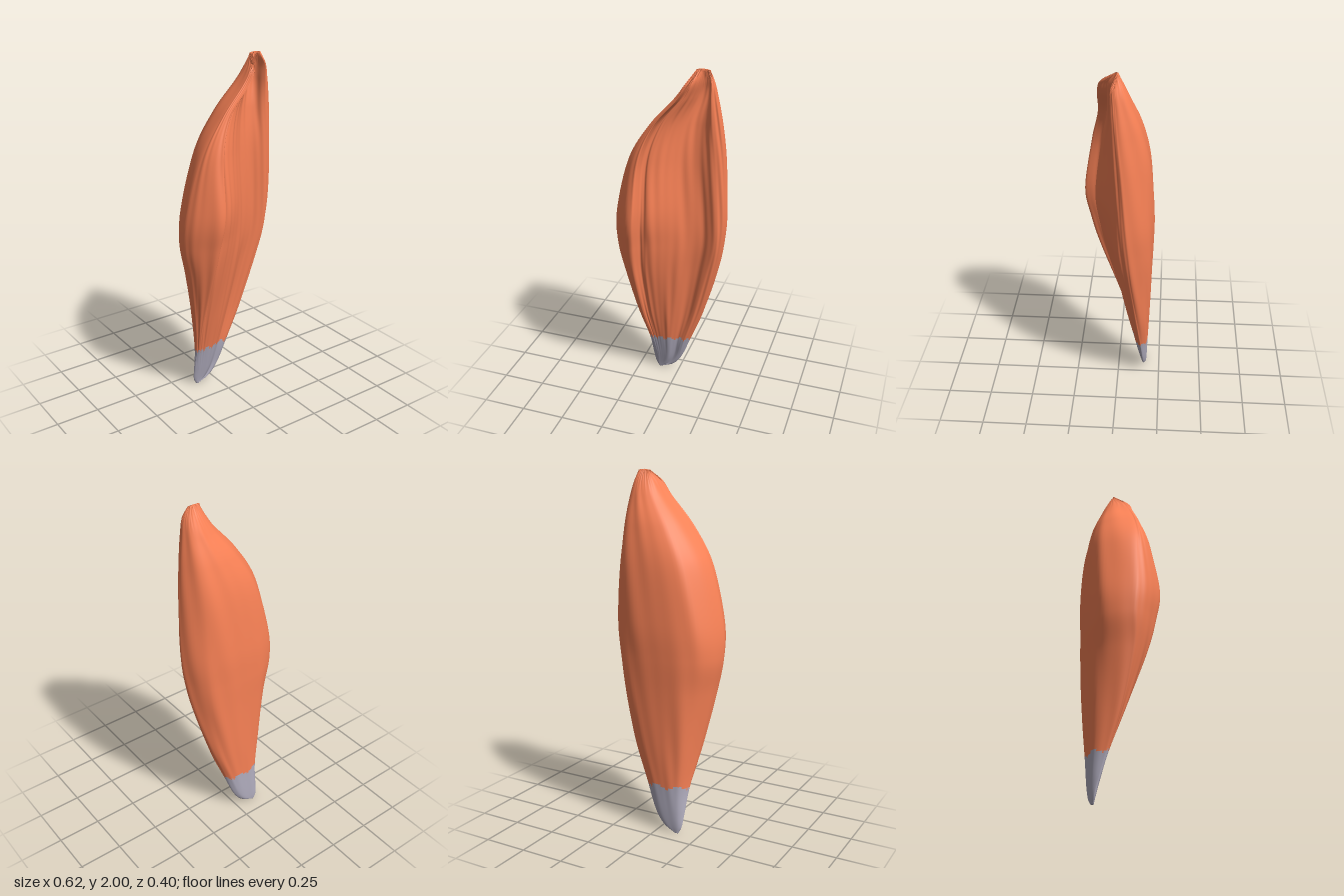
import * as THREE from 'three';

// Cross-section profile from tip to top:
// y, left edge x z, left ridge x z, hollow z, right ridge x z, right edge x z, back z
const SECTIONS = [
  [0.00, -0.130, -0.160, -0.125, -0.153, -0.152, -0.115, -0.153, -0.105, -0.160, -0.166],
  [0.04, -0.148, -0.155, -0.132, -0.145, -0.143, -0.050, -0.147, -0.030, -0.155, -0.170],
  [0.12, -0.156, -0.135, -0.135, -0.125, -0.122, 0.000, -0.135, 0.025, -0.150, -0.173],
  [0.27, -0.168, -0.095, -0.150, -0.083, -0.088, 0.045, -0.108, 0.082, -0.140, -0.176],
  [0.50, -0.212, -0.035, -0.176, 0.002, -0.045, 0.120, -0.083, 0.168, -0.120, -0.183],
  [0.80, -0.270, 0.010, -0.182, 0.110, 0.000, 0.200, -0.042, 0.250, -0.090, -0.190],
  [1.00, -0.306, 0.012, -0.172, 0.165, 0.015, 0.245, -0.015, 0.288, -0.075, -0.195],
  [1.20, -0.293, 0.030, -0.157, 0.198, 0.020, 0.250, 0.000, 0.305, -0.060, -0.195],
  [1.50, -0.212, 0.055, -0.140, 0.150, 0.010, 0.238, 0.015, 0.295, -0.040, -0.175],
  [1.70, -0.092, 0.072, -0.065, 0.107, -0.010, 0.222, 0.022, 0.275, -0.020, -0.135],
  [1.85, 0.038, 0.072, 0.058, 0.100, -0.035, 0.220, 0.028, 0.250, -0.008, -0.080],
  [1.93, 0.095, 0.058, 0.106, 0.085, -0.025, 0.220, 0.025, 0.233, 0.000, -0.045],
  [1.99, 0.135, -0.004, 0.142, 0.001, -0.004, 0.200, 0.001, 0.207, -0.004, -0.012],
];
const ROWS = 170, SEGMENTS = 140;
const lerp = THREE.MathUtils.lerp, step = THREE.MathUtils.smoothstep;

// Outline of one section: left lobe, crease, sloping band, slit, right lobe, back
function outline([y, xl, zl, lx, lz, fz, rx, rz, xr, zr, zb]) {
  const w = xr - xl;
  return [
    [xl, zl], [lerp(xl, lx, 0.28), lerp(zl, lz, 0.55)], [lx, lz],
    [lerp(lx, rx, 0.07), lerp(fz, lz, 0.6)], [lerp(lx, rx, 0.17), lerp(fz, lz, 0.62)],
    [lerp(lx, rx, 0.36), lerp(fz, lz, 0.36)], [lerp(lx, rx, 0.58), fz],
    [lerp(lx, rx, 0.82), Math.min(fz, rz) - 0.025 * w],
    [rx, rz], [lerp(xr, rx, 0.3), lerp(zr, rz, 0.6)], [xr, zr],
    [xr - 0.15 * w, lerp(zr, zb, 0.87)], [xl + 0.5 * w, zb], [xl + 0.15 * w, lerp(zl, zb, 0.77)],
  ].map(([x, z]) => new THREE.Vector3(x, y, z));
}

// Long shallow fibre grooves that wind slowly around the body
function fibre(s, y) {
  const a = s * Math.PI * 2;
  return Math.sin(a * 17 + y * 7) * 0.5 + Math.sin(a * 27 + y * 5 + 1) * 0.35
    + Math.sin(a * 11 + y * 9 + 2) * 0.4;
}

export function createModel() {
  const group = new THREE.Group();
  group.name = 'muscle';

  // Rails running along the length, one for each outline point
  const outlines = SECTIONS.map(outline);
  const rails = outlines[0].map((_, i) =>
    new THREE.CatmullRomCurve3(outlines.map(o => o[i]), false, 'catmullrom', 0.5));

  // Closed rings, rippled by the fibres, with a frayed upper rim
  const positions = [];
  for (let r = 0; r <= ROWS; r++) {
    const ring = new THREE.CatmullRomCurve3(rails.map(c => c.getPoint(r / ROWS)), true, 'centripetal');
    const pts = Array.from({ length: SEGMENTS }, (_, s) => ring.getPoint(s / SEGMENTS));
    const y = pts[0].y;
    const depth = 0.003 * step(y, 0.05, 0.5) * (1 - step(y, 1.8, 1.98));
    const fray = 0.006 * step(y, 1.85, 1.97);
    pts.forEach((p, s) => {
      const a = pts[(s + SEGMENTS - 1) % SEGMENTS], b = pts[(s + 1) % SEGMENTS];
      const len = Math.hypot(b.x - a.x, b.z - a.z) || 1;
      const d = depth * fibre(s / SEGMENTS, y);
      positions.push(
        p.x - (b.z - a.z) / len * d,
        p.y + fray * Math.sin(s * 2.3),
        p.z + (b.x - a.x) / len * d);
    });
  }
  // Centres of the two end caps
  const bottom = positions.length / 3, top = bottom + 1;
  positions.push(-0.12, 0, -0.159, 0.172, 2, -0.005);

  // Faces are shared out between body and tip along an uneven border
  const body = [], tip = [];
  for (let r = 0; r < ROWS; r++) {
    for (let s = 0; s < SEGMENTS; s++) {
      const n = (s + 1) % SEGMENTS;
      const a = r * SEGMENTS + s, b = r * SEGMENTS + n;
      const c = a + SEGMENTS, d = b + SEGMENTS;
      const border = 0.26 + 0.01 * Math.sin(s * 0.45) + 0.004 * Math.sin(s * 1.7);
      (positions[a * 3 + 1] < border ? tip : body).push(a, b, d, a, d, c);
    }
  }
  const last = ROWS * SEGMENTS;
  for (let s = 0; s < SEGMENTS; s++) {
    const n = (s + 1) % SEGMENTS;
    tip.push(bottom, n, s);
    body.push(top, last + s, last + n);
  }

  // Smooth normals are found over the whole surface, then shared by both parts
  const whole = new THREE.BufferGeometry();
  whole.setAttribute('position', new THREE.Float32BufferAttribute(positions, 3));
  whole.setIndex([...body, ...tip]);
  whole.computeVertexNormals();

  const addPart = (name, index, color) => {
    const geometry = whole.clone();
    geometry.setIndex(index);
    const mesh = new THREE.Mesh(geometry.toNonIndexed(), new THREE.MeshStandardMaterial({ color, side: THREE.DoubleSide }));
    mesh.name = name;
    group.add(mesh);
  };
  addPart('muscleBelly', body, 0xfa8256);
  addPart('tendonTip', tip, 0xb2aebf);
  return group;
}
